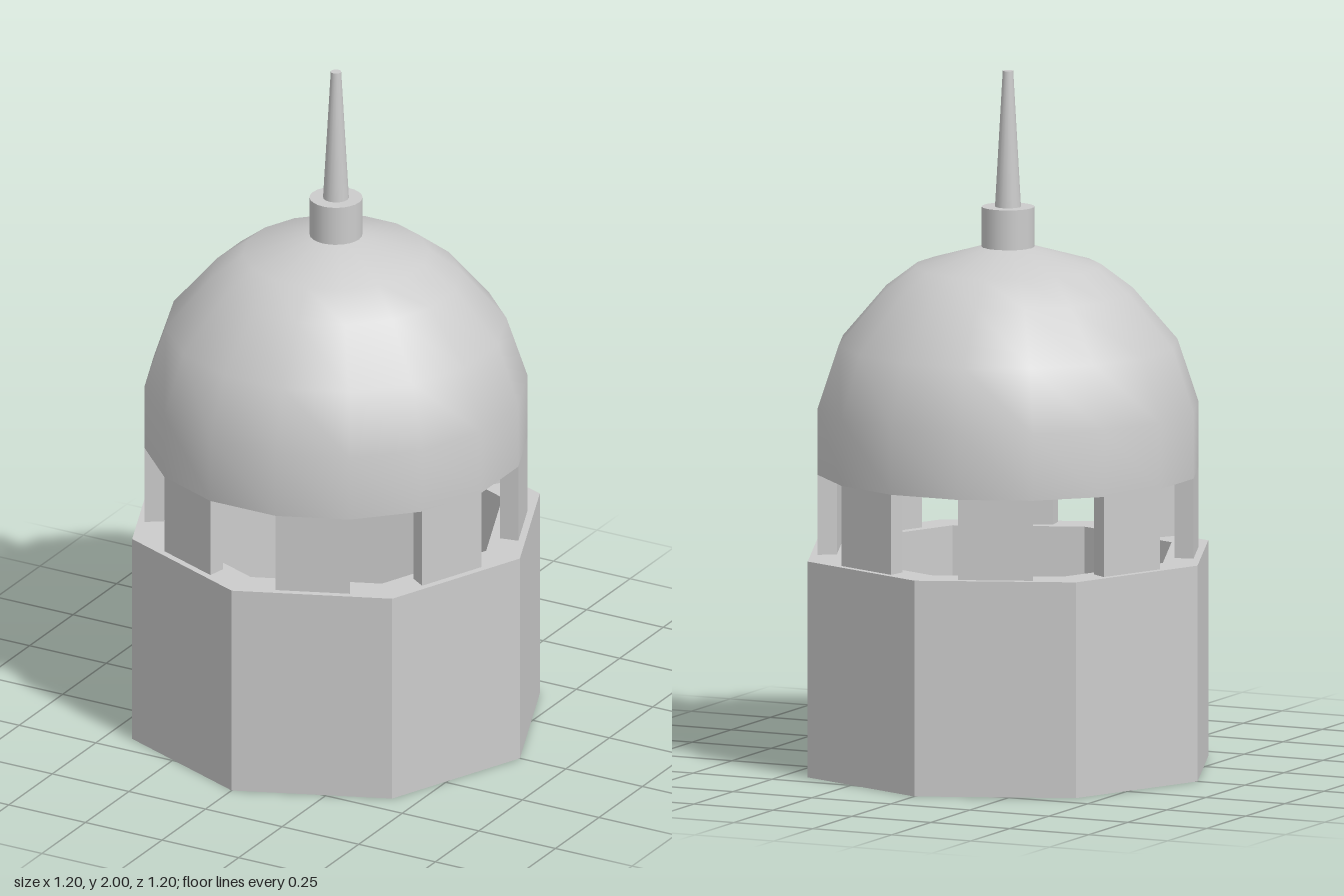
import * as THREE from 'three';
import { toCreasedNormals } from 'three/addons/utils/BufferGeometryUtils.js';

const material = new THREE.MeshStandardMaterial({ color: 0xcccccc, side: THREE.DoubleSide });

function addMesh(parent, name, geometry) {
  const mesh = new THREE.Mesh(geometry, material);
  mesh.name = name;
  parent.add(mesh);
  return mesh;
}

// Lathe from [radius, height] pairs, with sharp edges kept
function turned(profile, sides, phiStart = 0) {
  const points = profile.map(([r, y]) => new THREE.Vector2(r, y));
  return toCreasedNormals(new THREE.LatheGeometry(points, sides, phiStart), 0.6);
}

export function createModel() {
  const model = new THREE.Group();
  model.name = 'domedTurret';
  const baseTop = 0.62, windowTop = 0.85;
  const outer = 0.545, inner = 0.49, half = Math.PI / 16;

  // Octagonal base: open underneath, with a sunken well inside
  addMesh(model, 'base', turned(
    [[0.6, 0], [0.6, baseTop], [inner, baseTop], [inner, 0.14], [0, 0.14]], 8));

  // Eight piers with open windows between them
  const s = Math.sin(half), c = Math.cos(half);
  const section = new THREE.Shape([
    new THREE.Vector2(-inner * s, -inner * c),
    new THREE.Vector2(-outer * s, -outer * c),
    new THREE.Vector2(outer * s, -outer * c),
    new THREE.Vector2(inner * s, -inner * c),
  ]);
  const pierGeometry = new THREE.ExtrudeGeometry(section, { depth: windowTop - baseTop, bevelEnabled: false });
  pierGeometry.rotateX(-Math.PI / 2);
  const piers = new THREE.Group();
  piers.name = 'piers';
  model.add(piers);
  for (let i = 0; i < 8; i++) {
    const pier = addMesh(piers, 'pier', pierGeometry);
    pier.position.y = baseTop;
    pier.rotation.y = (i + 0.5) * Math.PI / 4;
  }

  // Hollow sixteen-sided dome, inside surface first
  addMesh(model, 'dome', turned([
    [0, 1.45], [0.06, 1.447], [0.24, 1.39], [0.32, 1.33], [0.435, 1.2], [inner, 1.03], [inner, windowTop],
    [outer, windowTop], [outer, 1.04], [0.485, 1.22], [0.357, 1.37], [0.265, 1.44], [0.07, 1.497], [0, 1.5],
  ], 16, half));

  // Collar and tapering spire
  const collar = addMesh(model, 'collar', new THREE.CylinderGeometry(0.075, 0.075, 0.13, 24));
  collar.position.y = 1.545;
  const spire = addMesh(model, 'spire', new THREE.CylinderGeometry(0.015, 0.037, 0.39, 16));
  spire.position.y = 1.805;

  return model;
}
